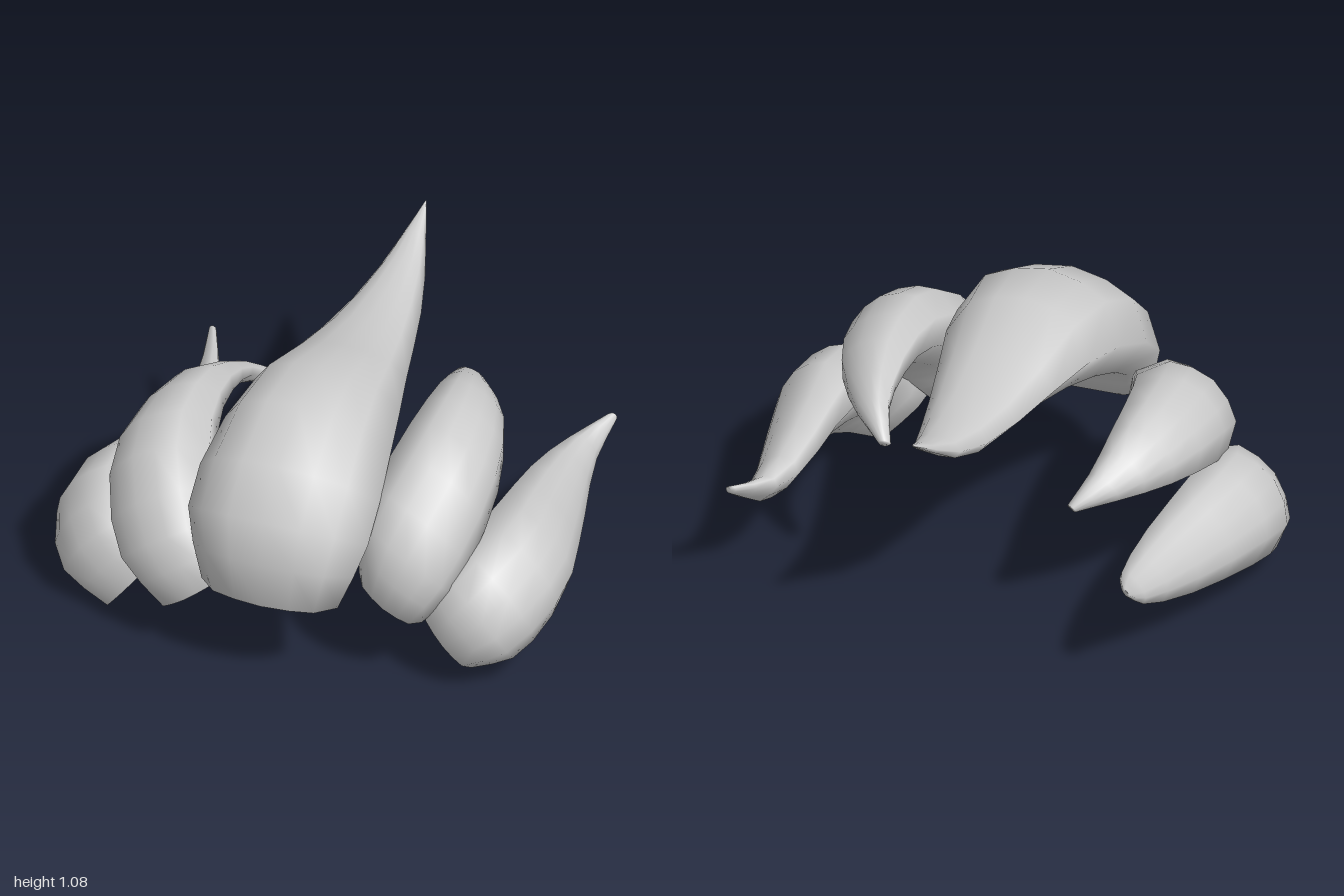
import * as THREE from 'three';

const STEPS = 11;
// Half of the cross-section, crest to underside: [fraction of half width, fraction of height]
const HALF_SECTION = [[0, 1], [0.4, 0.94], [0.74, 0.81], [1, 0.42], [0.74, 0.07], [0, 0]];
const SECTION = [...HALF_SECTION, ...HALF_SECTION.slice(1, -1).reverse().map(([s, f]) => [-s, f])];

// Half widths from base to tip
const WIDE = [0.27, 0.36, 0.315, 0.2, 0.1, 0.004];
const NARROW = [0.15, 0.225, 0.22, 0.165, 0.08, 0.02];

// Smooth curve through numbers or [z, y] pairs
const spline = (points) => new THREE.CatmullRomCurve3(
  points.map((p) => new THREE.Vector3(...[p].flat())), false, 'catmullrom');

// Closed surface swept between a crest curve and an underside curve
function lockGeometry(crest, underside, widths, shifts) {
  const [top, bottom, width, shift] = [crest, underside, widths, shifts].map(spline);
  const n = SECTION.length, positions = [], indices = [];
  const addPoint = (t, s, f) => {
    const p = bottom.getPoint(t).lerp(top.getPoint(t), f);
    positions.push(shift.getPoint(t).x + s * width.getPoint(t).x, p.y, p.x);
  };
  for (let i = 0; i <= STEPS; i++) {
    for (const [s, f] of SECTION) addPoint(i / STEPS, s, f);
  }
  // Centre points of the base and tip caps
  addPoint(0, 0, 0.5);
  addPoint(1, 0, 0.5);
  const last = STEPS * n, base = last + n, tip = base + 1;
  for (let k = 0; k < n; k++) {
    const k2 = (k + 1) % n;
    for (let row = 0; row < last; row += n) {
      const a = row + k, b = row + k2;
      indices.push(a, b, a + n, b, b + n, a + n);
    }
    indices.push(base, k2, k, tip, last + k, last + k2);
  }
  const geometry = new THREE.BufferGeometry();
  geometry.setAttribute('position', new THREE.Float32BufferAttribute(positions, 3));
  geometry.setIndex(indices);
  geometry.computeVertexNormals();
  return geometry;
}

export function createModel() {
  const model = new THREE.Group();
  model.name = 'sweptLocks';
  const material = new THREE.MeshStandardMaterial({ color: 0xcccccc });

  // Each lock fans out by leaning around the front-to-back axis
  function addLock(name, leanDegrees, widths, shifts, crest, underside) {
    const lock = new THREE.Mesh(lockGeometry(crest, underside, widths, shifts), material);
    lock.name = name;
    lock.rotation.z = -THREE.MathUtils.degToRad(leanDegrees);
    model.add(lock);
  }

  addLock('centreLock', 0, WIDE, [0, 0],
    [[0.87, 0.41], [0.825, 0.81], [0.37, 1.08], [-0.18, 0.955], [-0.6, 0.965], [-0.88, 1.075]],
    [[0.7, 0.4], [0.49, 0.62], [0.02, 0.79], [-0.52, 0.83], [-0.875, 1.065]]);

  addLock('leftUpperLock', 34, NARROW, [0.135, -0.015, -0.13],
    [[0.69, 0.55], [0.67, 0.82], [0.38, 1.06], [0.01, 1.07], [-0.26, 0.93], [-0.39, 0.785]],
    [[0.54, 0.54], [0.42, 0.7], [0.11, 0.86], [-0.195, 0.855], [-0.36, 0.745]]);

  addLock('rightUpperLock', -37, NARROW, [-0.11, -0.083, 0.01],
    [[0.77, 0.43], [0.745, 0.71], [0.45, 0.97], [0.045, 0.98], [-0.21, 0.84], [-0.33, 0.71]],
    [[0.62, 0.42], [0.47, 0.605], [0.145, 0.78], [-0.15, 0.775], [-0.3, 0.675]]);

  addLock('leftLowerLock', 50, NARROW, [0.24, 0.198, 0.165],
    [[0.62, 0.62], [0.61, 0.86], [0.33, 1.045], [-0.07, 0.98], [-0.42, 0.925], [-0.59, 0.99]],
    [[0.5, 0.6], [0.38, 0.73], [0.07, 0.8], [-0.35, 0.81], [-0.58, 0.955]]);

  addLock('rightLowerLock', -53, NARROW, [-0.3, -0.225, -0.09],
    [[0.6, 0.59], [0.58, 0.84], [0.325, 1], [-0.08, 0.89], [-0.43, 0.82], [-0.635, 0.89]],
    [[0.48, 0.58], [0.36, 0.71], [0.06, 0.735], [-0.35, 0.715], [-0.62, 0.86]]);

  return model;
}
